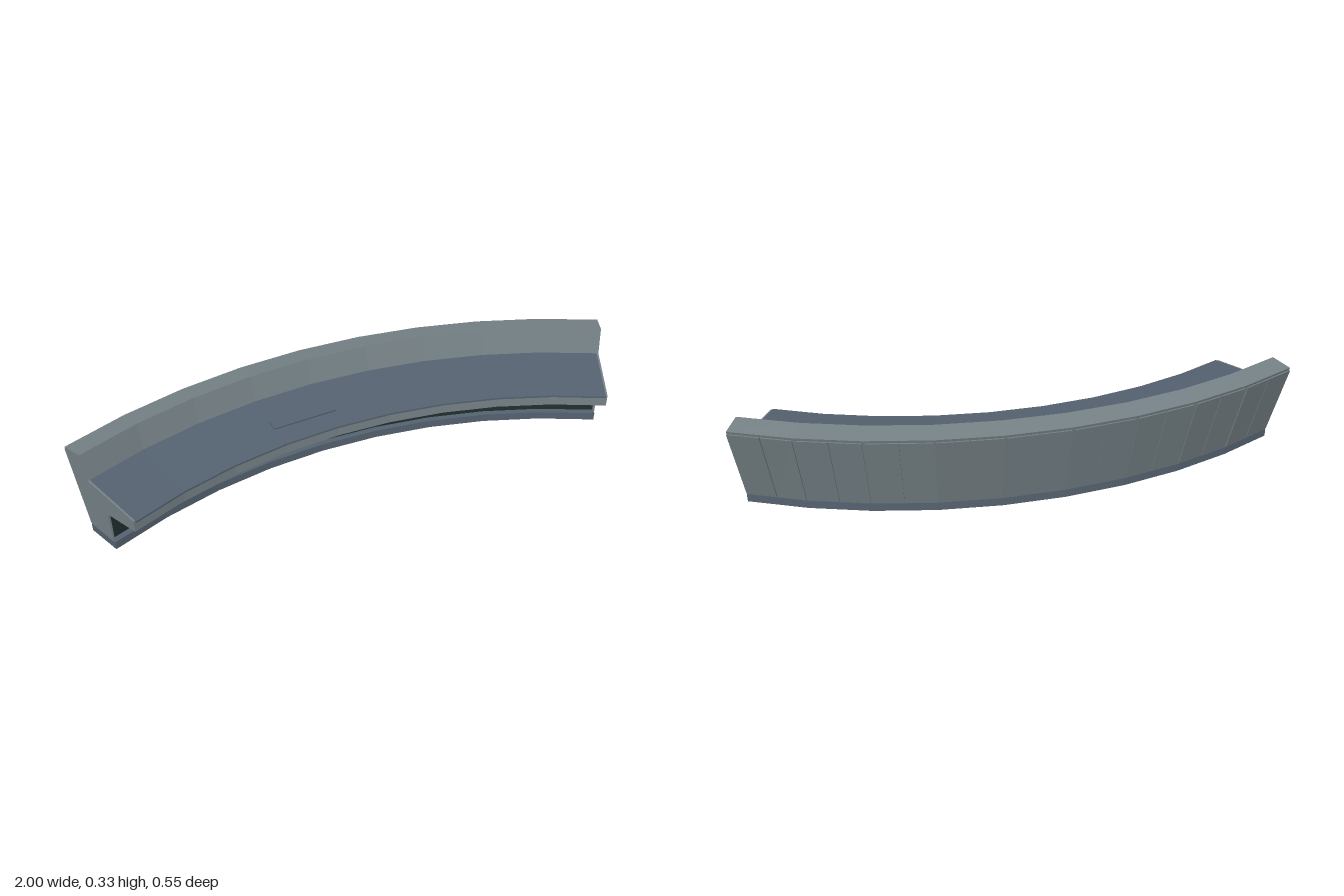
import * as THREE from 'three';

const HALF = THREE.MathUtils.degToRad(27); // half the sweep angle
const SEGMENTS = 9;

const mat = (name, color) => Object.assign(new THREE.MeshStandardMaterial({ color }), { name });

// Point on the faceted arc: u runs -1..1 along it, zEnd is the depth measured at the end face
function arcPoint(u, zEnd, y) {
  const width = 1 - 0.4465 * (zEnd + 0.04);
  const sag = 0.234 - 0.088 * (zEnd + 0.04);
  const corner = (i) => {
    const a = HALF * (2 * i / SEGMENTS - 1);
    const bow = (Math.cos(a) - Math.cos(HALF)) / (Math.cos(HALF / SEGMENTS) - Math.cos(HALF));
    return new THREE.Vector3(width * Math.sin(a) / Math.sin(HALF), y, zEnd - sag * bow);
  };
  const k = (u + 1) * SEGMENTS / 2;
  const i = Math.min(SEGMENTS - 1, Math.max(0, Math.floor(k)));
  return corner(i).lerp(corner(i + 1), k - i);
}

// Sweep a counter-clockwise (z, y) profile along the arc and cap both ends
function sweep(profile, u0, u1) {
  const stops = [u0];
  for (let i = 1; i < SEGMENTS; i++) {
    const u = 2 * i / SEGMENTS - 1;
    if (u > u0 + 1e-4 && u < u1 - 1e-4) stops.push(u);
  }
  stops.push(u1);
  const rings = stops.map((u) => profile.map(([z, y]) => arcPoint(u, z, y)));
  const points = [];
  const n = profile.length;
  for (let s = 0; s < rings.length - 1; s++) {
    for (let j = 0; j < n; j++) {
      const k = (j + 1) % n;
      const p0 = rings[s][j], q0 = rings[s][k], p1 = rings[s + 1][j], q1 = rings[s + 1][k];
      points.push(p0, p1, q1, p0, q1, q0);
    }
  }
  const outline = profile.map(([z, y]) => new THREE.Vector2(z, y));
  const first = rings[0], last = rings[rings.length - 1];
  for (const [a, b, c] of THREE.ShapeUtils.triangulateShape(outline, [])) {
    points.push(first[a], first[b], first[c], last[a], last[c], last[b]);
  }
  const geometry = new THREE.BufferGeometry().setFromPoints(points);
  geometry.computeVertexNormals();
  return geometry;
}

export function createModel() {
  const group = new THREE.Group();
  const shell = mat('shell grey', 0x768287);
  const slate = mat('slate blue', 0x556270);
  const dark = mat('dark panel', 0x222e2e);
  const add = (name, geometry, material) => {
    const mesh = new THREE.Mesh(geometry, material);
    mesh.name = name;
    group.add(mesh);
    return mesh;
  };
  const inner = 0.993; // where the end panels begin

  // Plinth
  add('base', sweep([[0.025, 0], [0.145, 0], [0.145, 0.03], [0.025, 0.03]], -1, 1), slate);

  // Main body with overhanging ledge and raised rear wall
  add('body', sweep([
    [0.03, 0.03], [0.12, 0.03], [0.12, 0.147], [0.273, 0.173], [0.273, 0.21],
    [0.057, 0.233], [0.057, 0.24], [0.035, 0.333], [-0.04, 0.322],
  ], -inner, inner), shell);

  // Worktop with a small front lip
  add('worktop', sweep([[0.278, 0.21], [0.278, 0.217], [0.057, 0.24], [0.057, 0.233]], -inner, inner), slate);

  // Recessed dark front below the ledge
  add('frontPanel', sweep([[0.12, 0.03], [0.125, 0.03], [0.125, 0.148], [0.12, 0.147]], -inner, inner), dark);

  // Thin end panels
  const endProfile = [
    [0.03, 0.03], [0.137, 0.03], [0.137, 0.15], [0.273, 0.173], [0.273, 0.217],
    [0.057, 0.24], [0.035, 0.333], [-0.04, 0.322],
  ];
  add('rightEndPanel', sweep(endProfile, -1, -inner), shell);
  add('leftEndPanel', sweep(endProfile, inner, 1), shell);

  // Rear cladding: two boards per facet, wider gaps at the facet corners
  const board = [[0.0295, 0.032], [-0.0376, 0.312], [-0.0426, 0.312], [0.0245, 0.032]];
  for (let i = 0; i < SEGMENTS * 2; i++) {
    const start = i / SEGMENTS - 1;
    const wide = 0.005, thin = 0.0015;
    const [g0, g1] = i % 2 ? [thin, wide] : [wide, thin];
    const from = i === 0 ? -1 : start + g0;
    const to = i === SEGMENTS * 2 - 1 ? 1 : start + 1 / SEGMENTS - g1;
    add('rearBoard' + (i + 1), sweep(board, from, to), shell);
  }

  // Slim pad lying on the worktop
  const pad = add('deskPad', new THREE.BoxGeometry(0.236, 0.008, 0.04), slate);
  pad.position.set(-0.198, 0.228, -0.015);
  pad.rotation.set(0.1, 0.085, 0, 'YXZ');

  return group;
}
